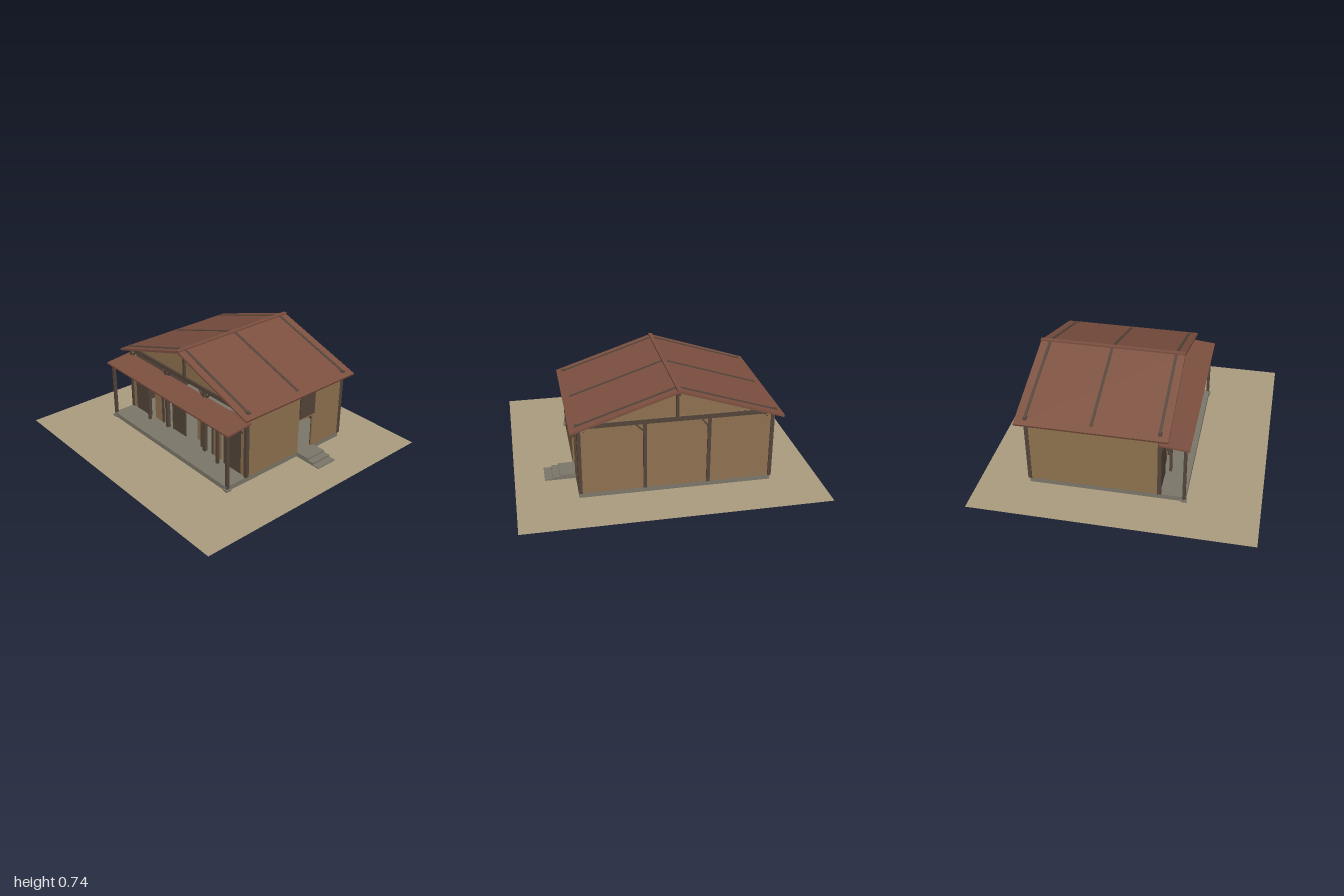
import * as THREE from 'three';

const mat = (color, side = THREE.FrontSide) => new THREE.MeshStandardMaterial({ color, side });
const WOOD = mat(0x54453a), TAN = mat(0x8f7250), ROOF = mat(0x7d5040), STONE = mat(0x7d776a);
const SAND = mat(0xab9d80, THREE.DoubleSide), GABLE = mat(0x8f7250, THREE.DoubleSide);

export function createModel() {
  const model = new THREE.Group();

  const add = (name, geo, material) => {
    const m = new THREE.Mesh(geo, material);
    m.name = name;
    model.add(m);
    return m;
  };
  // Box given by its limits on each axis
  const block = (name, material, x0, x1, y0, y1, z0, z1) => {
    const m = add(name, new THREE.BoxGeometry(x1 - x0, y1 - y0, z1 - z0), material);
    m.position.set((x0 + x1) / 2, (y0 + y1) / 2, (z0 + z1) / 2);
    return m;
  };
  // Bar of section w x h between two points
  const beam = (name, material, a, b, w, h = w) => {
    const p = new THREE.Vector3(...a), q = new THREE.Vector3(...b);
    const m = add(name, new THREE.BoxGeometry(w, h, p.distanceTo(q)), material);
    m.position.copy(p).add(q).multiplyScalar(0.5);
    m.lookAt(q);
    return m;
  };

  const cx = -0.04;              // ridge line of the house
  const zf = 0.275, zb = -0.597; // front and back frames
  const floor = 0.037, eave = 0.505;
  const posts = [-0.668, -0.249, 0.169, 0.588];

  // Ground, floor slab and side steps
  const ground = add('ground', new THREE.PlaneGeometry(2, 1.876), SAND);
  ground.rotation.x = -Math.PI / 2;
  ground.position.y = 0.003;
  block('floorSlab', STONE, -0.675, 0.595, 0.001, floor, -0.6, 0.45);
  [[0.70, floor], [0.75, 0.025], [0.80, 0.012]].forEach(([x, h], i) =>
    block('step' + (i + 1), STONE, i ? x - 0.05 : 0.595, x, 0.001, h, -0.348, -0.188));

  // Sunken hearth with a kettle
  block('hearth', WOOD, -0.12, -0.02, 0, 0.041, -0.215, -0.115);
  const kettle = add('kettle', new THREE.SphereGeometry(0.013, 12, 8), WOOD);
  kettle.position.set(-0.095, 0.055, -0.165);

  // Outer walls, with a doorway on the left side, and dark inner lining
  block('backWall', TAN, -0.668, 0.588, floor, 0.53, -0.603, -0.592);
  block('backLining', WOOD, -0.66, 0.58, floor, 0.53, -0.592, -0.586);
  block('rightWall', TAN, -0.677, -0.665, floor, eave, zb, zf);
  block('rightLining', WOOD, -0.665, -0.659, floor, eave, zb, zf);
  [[zb, -0.325, floor], [-0.325, -0.19, 0.29], [-0.19, zf, floor]].forEach(([z0, z1, y0]) => {
    block('leftWall', TAN, 0.585, 0.597, y0, eave, z0, z1);
    block('leftLining', WOOD, 0.579, 0.585, y0, eave, z0, z1);
  });
  block('sideShutter', WOOD, 0.597, 0.609, 0.302, 0.485, -0.328, -0.192);
  block('doorHead', TAN, 0.597, 0.605, 0.288, 0.3, -0.328, -0.192);

  // Timber frames front and back: posts, tie beam, knee braces, king post, gable
  for (const z of [zf, zb]) {
    const s = Math.sign(z);
    posts.forEach((x, i) => {
      block('post', WOOD, x - 0.012, x + 0.012, floor, 0.53, z - 0.013, z + 0.013);
      for (const d of [-1, 1]) {
        if ((i === 0 && d < 0) || (i === 3 && d > 0)) continue;
        beam('kneeBrace', WOOD, [x, 0.44, z], [x + d * 0.06, 0.505, z], 0.012);
      }
    });
    block('tieBeam', WOOD, -0.69, 0.61, 0.5, 0.53, z - 0.012, z + 0.012);
    block('kingPost', WOOD, cx - 0.01, cx + 0.01, 0.53, 0.715, z - 0.012, z + 0.012);
    const tri = new THREE.Shape([
      new THREE.Vector2(cx - 0.6, 0.52), new THREE.Vector2(cx + 0.6, 0.52), new THREE.Vector2(cx, 0.717)]);
    add('gable', new THREE.ShapeGeometry(tri), GABLE).position.z = z - s * 0.002;
  }
  for (const x of [posts[0], posts[3]])
    beam('wallPlate', WOOD, [x, 0.49, zb], [x, 0.49, zf], 0.018, 0.025);

  // Main roof: two slopes, rafters breaking the surface, ridge cap
  for (const s of [-1, 1]) {
    const slope = beam('roofSlope', ROOF, [cx, 0.725, -0.165], [cx + s * 0.685, 0.499, -0.165], 0.997, 0.015);
    slope.position.z = -0.165;
    for (const z of [-0.6, -0.165, 0.273])
      beam('rafter', WOOD, [cx, 0.721, z], [cx + s * 0.635, 0.512, z], 0.018, 0.03);
  }
  block('ridgeCap', ROOF, cx - 0.014, cx + 0.014, 0.722, 0.739, -0.667, 0.335);
  block('ridgeBeam', WOOD, cx - 0.012, cx + 0.012, 0.69, 0.715, -0.64, 0.31);

  // Porch roof on two footed posts
  beam('porchRoof', ROOF, [cx, 0.457, 0.27], [cx, 0.437, 0.468], 1.331, 0.012);
  block('porchBeam', WOOD, -0.69, 0.61, 0.415, 0.433, 0.43, 0.448);
  for (const x of [posts[0], posts[3]]) {
    block('porchPost', WOOD, x - 0.01, x + 0.01, 0.018, 0.435, 0.428, 0.448);
    block('postFoot', STONE, x - 0.019, x + 0.019, 0, 0.018, 0.419, 0.457);
  }

  // Low entrance canopy
  beam('canopyRoof', ROOF, [cx, 0.345, 0.27], [cx, 0.328, 0.347], 0.84, 0.012);
  for (const s of [-1, 1]) {
    const x = cx + s * 0.383;
    block('canopyPost', WOOD, x - 0.009, x + 0.009, floor, 0.335, 0.302, 0.32);
  }

  // Front screens: narrow plaster strips, boarded leaves and sliding panels
  for (const s of [-1, 1]) {
    const span = (name, material, a, b, top, z) => {
      const [x0, x1] = [cx + s * a, cx + s * b].sort((p, q) => p - q);
      block(name, material, x0, x1, floor, top, z - 0.005, z + 0.005);
    };
    span('plasterStrip', TAN, 0.58, 0.62, 0.5, zf);
    span('doorJamb', WOOD, 0.565, 0.582, 0.37, zf);
    span('boardedLeaf', WOOD, 0.41, 0.565, 0.37, zf);
    span('slidingPanel', TAN, 0.29, 0.37, 0.35, 0.262);
    span('panelFrame', WOOD, 0.27, 0.29, 0.36, 0.262);
    span('innerJamb', WOOD, 0.15, 0.165, 0.36, 0.262);
  }
  block('centrePanel', TAN, 0.02, 0.115, floor, 0.35, 0.21, 0.22);
  block('centreLeaf', WOOD, -0.2, -0.06, floor, 0.35, 0.255, 0.265);
  block('doorLintel', WOOD, cx - 0.6, cx + 0.6, 0.358, 0.373, 0.262, 0.288);

  return model;
}
